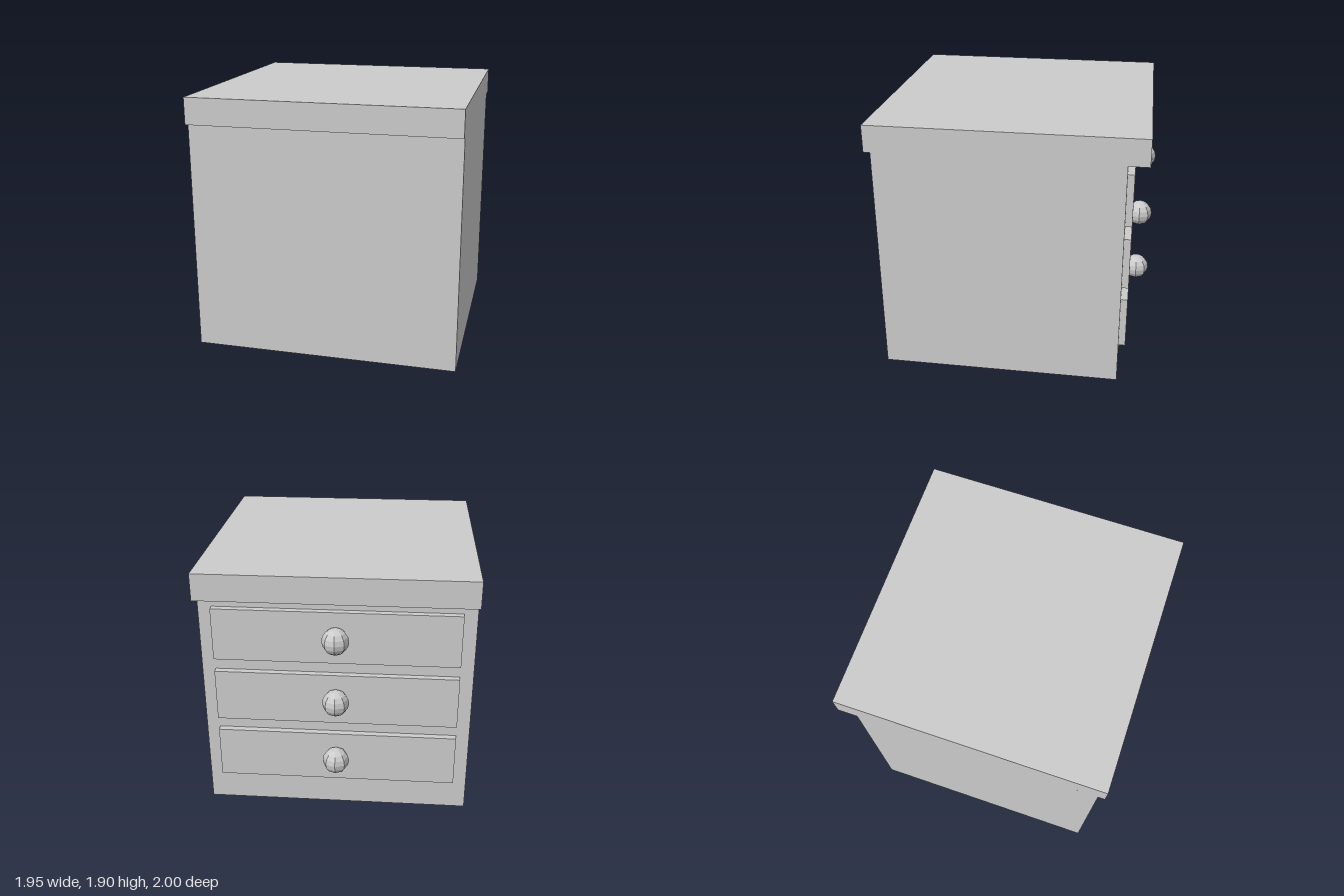
import * as THREE from 'three';

// One design unit; the cabinet is 4 wide and 4.1 deep overall
const U = 2 / 4.1;

export function createModel() {
  const group = new THREE.Group();
  const material = new THREE.MeshStandardMaterial({ color: 0xcccccc, flatShading: true });

  const add = (name, geometry, x, y, z) => {
    const mesh = new THREE.Mesh(geometry, material);
    mesh.name = name;
    mesh.position.set(x * U, y * U, z * U);
    group.add(mesh);
  };
  const box = (w, h, d) => new THREE.BoxGeometry(w * U, h * U, d * U);

  // Carcass and overhanging top
  add('cabinetBody', box(4, 3.5, 3.6), 0, 1.75, 0.15);
  add('cabinetTop', box(4, 0.4, 4), 0, 3.7, 0.05);

  // Three drawers on the -z side, each with a round faceted knob
  for (let i = 0; i < 3; i++) {
    const y = 0.9 + i;
    add(`drawerFront${i + 1}`, box(3.6, 0.8, 0.1), 0, y, -1.7);
    add(`drawerKnob${i + 1}`, new THREE.SphereGeometry(0.2 * U, 8, 8), 0, y, -1.85);
  }

  return group;
}
